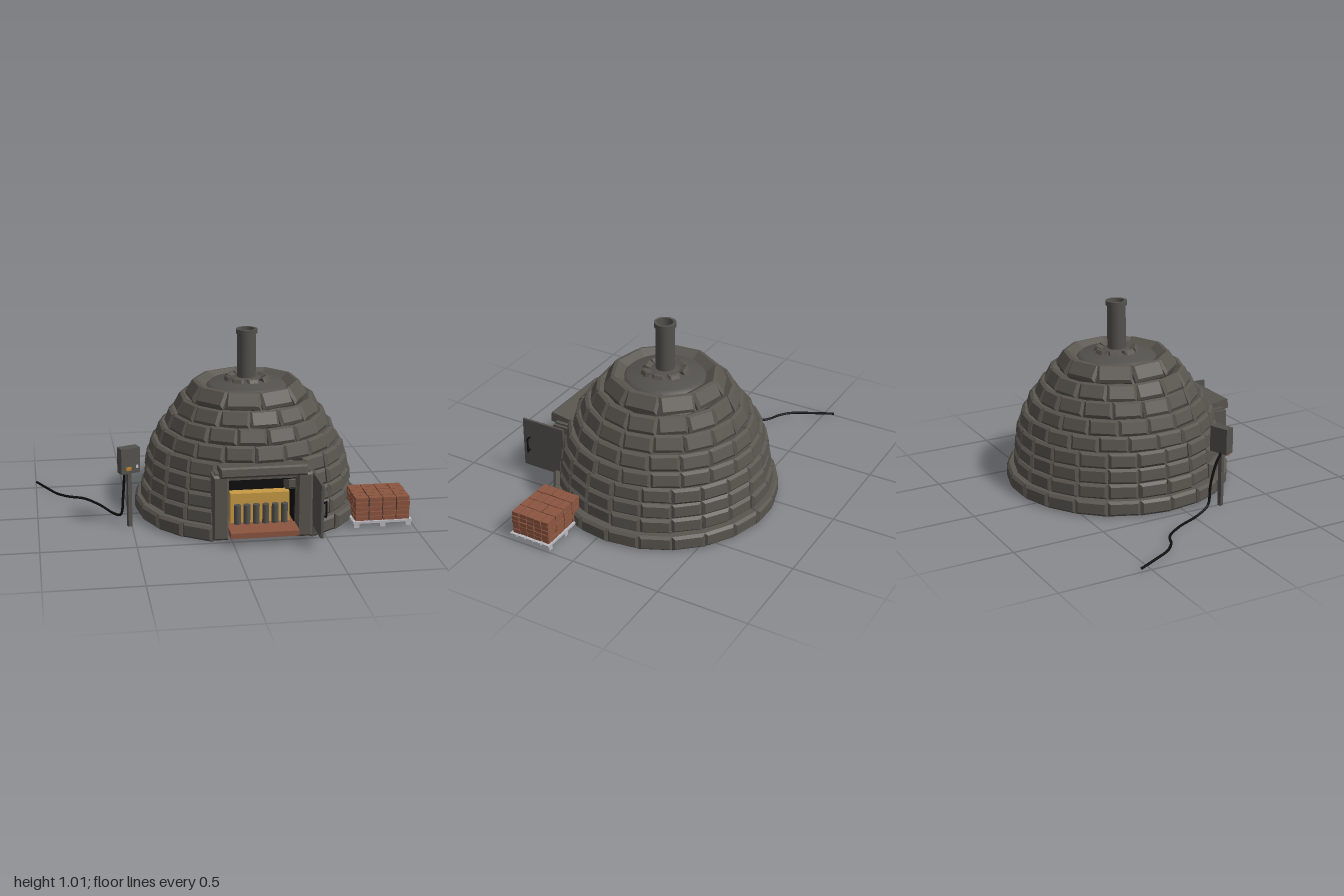
import * as THREE from 'three';
import { mergeGeometries } from 'three/addons/utils/BufferGeometryUtils.js';

const mat = (name, color, side = THREE.FrontSide) => {
  const m = new THREE.MeshStandardMaterial({ color, side });
  m.name = name;
  return m;
};

export function createModel() {
  const stone = mat('stone', 0x59554f);
  const mortar = mat('dark mortar', 0x34312e, THREE.DoubleSide);
  const metal = mat('grey metal', 0x53514d, THREE.DoubleSide);
  const black = mat('soot black', 0x0e0e0e);
  const gold = mat('ember gold', 0xc99a45);
  const clay = mat('clay brick', 0x8c5540);
  const pale = mat('pale pallet', 0xb9b9c0);
  const orange = mat('orange label', 0xb98632);

  const model = new THREE.Group();
  model.name = 'brickKiln';
  const CX = 0.16, CZ = -0.06;
  const kiln = new THREE.Group();
  kiln.name = 'kilnDome';
  kiln.position.set(CX, 0, CZ);
  model.add(kiln);

  let seed = 7;
  const rand = () => (seed = (seed * 16807) % 2147483647) / 2147483647 - 0.5;

  const add = (parent, name, geo, material, x = 0, y = 0, z = 0) => {
    const m = new THREE.Mesh(geo, material);
    m.name = name;
    m.position.set(x, y, z);
    parent.add(m);
    return m;
  };
  // box given by its minimum and maximum corners
  const span = (parent, name, material, x0, x1, y0, y1, z0, z1) =>
    add(parent, name, new THREE.BoxGeometry(x1 - x0, y1 - y0, z1 - z0), material,
      (x0 + x1) / 2, (y0 + y1) / 2, (z0 + z1) / 2);

  // stone block: outer face at z = 0 with chamfered rim, narrowing inwards
  function block(w, h, d, taper = 1, bevel = 0.014) {
    const g = new THREE.BoxGeometry(w, h, d, 1, 1, 2).toNonIndexed();
    const p = g.attributes.position;
    for (let i = 0; i < p.count; i++) {
      const x = p.getX(i), y = p.getY(i), z = p.getZ(i);
      if (z > d / 4) p.setXYZ(i, x - Math.sign(x) * bevel, y - Math.sign(y) * bevel, 0);
      else if (z > -d / 4) p.setZ(i, -bevel);
      else p.setXYZ(i, x * taper, y, -d);
    }
    g.computeVertexNormals();
    return g;
  }

  // courses: [middle height, outer radius, tilt in degrees, block count, half angle of doorway]
  const courses = [
    [0.044, 0.618, 0, 19, 0.45], [0.125, 0.58, 2, 19, 0.45], [0.207, 0.57, 5, 19, 0.45],
    [0.29, 0.557, 8, 19, 0.45], [0.37, 0.535, 12, 18, 0.46], [0.45, 0.495, 17, 19, 0],
    [0.53, 0.445, 23, 17, 0], [0.61, 0.395, 28, 15, 0], [0.692, 0.32, 33, 10, 0]
  ];
  const H = 0.086, D = 0.11;
  courses.forEach(([y, rMax, deg, n, gap], row) => {
    const tilt = THREE.MathUtils.degToRad(deg);
    const h = H / Math.cos(tilt) - 0.002;
    const r = rMax - (h / 2 - 0.014) * Math.sin(tilt);
    const step = (Math.PI * 2 - 2 * gap) / n;
    const parts = [];
    for (let i = 0; i < n; i++) {
      const a = gap + step * (i + 0.5) + (gap ? 0 : (row % 2) * step / 2 + 0.1);
      const w = 2 * r * Math.tan(step / 2) * (0.97 + rand() * 0.04);
      const g = block(w, h, D, (r - D * Math.cos(tilt)) / r);
      g.rotateZ(rand() * 0.03);
      g.rotateX(-tilt + rand() * 0.03);
      g.translate(0, y, r + rand() * 0.012);
      g.rotateY(a);
      parts.push(g);
    }
    add(kiln, 'stoneCourse' + (row + 1), mergeGeometries(parts), stone);
  });

  // mortar shell hidden between the blocks, open at the doorway
  const shell = courses.map(([y, r]) => new THREE.Vector2(r - 0.065, y));
  add(kiln, 'lowerMortar', new THREE.LatheGeometry(shell.slice(0, 5), 40, 0.46, Math.PI * 2 - 0.92), mortar);
  add(kiln, 'upperMortar', new THREE.LatheGeometry([new THREE.Vector2(0.455, 0.41), ...shell.slice(5)], 40), mortar);

  // crown cap and ring of small stones
  add(kiln, 'crownCap', new THREE.LatheGeometry(
    [[0.22, 0.695], [0.2, 0.715], [0.05, 0.745]].map(p => new THREE.Vector2(...p)), 32), metal);
  const crown = [];
  for (let i = 0; i < 8; i++) {
    const g = block(0.068, 0.05, 0.05, 0.75, 0.01);
    g.rotateX(-0.45);
    g.translate(0, 0.735, 0.125 + rand() * 0.015);
    g.rotateY(i * Math.PI / 4 + 0.2);
    crown.push(g);
  }
  add(kiln, 'crownStones', mergeGeometries(crown), stone);

  // hollow chimney with collar
  const tube = (r0, r1, y0, y1) => new THREE.LatheGeometry(
    [[r0, y0], [r1, y0], [r1, y0], [r1, y1], [r1, y1], [r0, y1], [r0, y1], [r0, y0]]
      .map(p => new THREE.Vector2(...p)), 32);
  add(kiln, 'chimney', tube(0.043, 0.051, 0.72, 1.0), metal);
  add(kiln, 'chimneyCollar', tube(0.043, 0.058, 0.985, 1.01), metal);

  // doorway
  const door = new THREE.Group();
  door.name = 'doorway';
  model.add(door);
  for (const s of [-1, 1]) {
    const x = CX + s * 0.222;
    const g = block(0.085, 0.355, 0.15, 1, 0.012);
    add(door, 'jamb', g, stone, x, 0.187, 0.5);
    span(door, 'throatWall', metal, CX + s * 0.185 - 0.006, CX + s * 0.185 + 0.006, 0.05, 0.36, 0.3, 0.47);
  }
  add(door, 'lintel', block(0.46, 0.056, 0.13, 1, 0.01), stone, CX, 0.39, 0.53).rotation.x = -0.15;
  span(door, 'throatRoof', stone, CX - 0.25, CX + 0.25, 0.335, 0.375, 0.3, 0.485);
  span(door, 'throatBack', metal, CX - 0.185, CX + 0.185, 0.05, 0.345, 0.296, 0.302);
  span(door, 'sootBack', black, CX - 0.18, CX + 0.18, 0.06, 0.336, 0.302, 0.309);
  span(door, 'sootRoof', black, CX - 0.178, CX + 0.178, 0.328, 0.335, 0.309, 0.48);
  for (const s of [-1, 1])
    span(door, 'sootSide', black, CX + s * 0.176 - 0.003, CX + s * 0.176 + 0.003, 0.07, 0.33, 0.309, 0.44);
  add(door, 'innerStone', block(0.06, 0.07, 0.08), stone, 0.318, 0.295, 0.46);
  span(door, 'sill', clay, -0.02, 0.34, 0.047, 0.076, 0.3, 0.575);

  // glowing firebed behind a row of bars
  span(door, 'firebed', gold, 0.0, 0.315, 0.076, 0.237, 0.36, 0.42);
  for (let i = 0; i < 6; i++)
    add(door, 'grateBar', new THREE.CylinderGeometry(0.018, 0.018, 0.105, 12), metal, 0.035 + i * 0.05, 0.128, 0.435);

  // open door leaf with handle and hinges
  span(door, 'doorLeaf', metal, 0.428, 0.442, 0.066, 0.355, 0.42, 0.68);
  add(door, 'handle', new THREE.CylinderGeometry(0.005, 0.005, 0.09, 8), black, 0.464, 0.208, 0.64);
  for (const y of [0.17, 0.246]) span(door, 'handleMount', black, 0.44, 0.466, y - 0.004, y + 0.004, 0.636, 0.644);
  for (const y of [0.11, 0.31])
    add(door, 'hinge', new THREE.CylinderGeometry(0.01, 0.01, 0.04, 10), metal, 0.432, y, 0.425);

  // control box on a post
  const box = new THREE.Group();
  box.name = 'controlBox';
  box.position.set(-0.513, 0, 0.2);
  box.rotation.y = 0.35;
  model.add(box);
  span(box, 'post', metal, -0.011, 0.011, 0.005, 0.32, -0.011, 0.011);
  span(box, 'cabinet', metal, -0.054, 0.054, 0.31, 0.45, -0.027, 0.027);
  span(box, 'orangeLabel', orange, -0.028, 0.003, 0.328, 0.348, 0.026, 0.03);
  span(box, 'paleLabel', pale, 0.03, 0.042, 0.337, 0.354, 0.026, 0.03);

  // power cable
  const path = [[-0.535, 0.32, 0.19], [-0.535, 0.27, 0.16], [-0.54, 0.15, 0.12], [-0.55, 0.04, 0.1],
    [-0.58, 0.01, 0.02], [-0.66, 0.012, -0.14], [-0.74, 0.014, -0.245], [-0.82, 0.014, -0.285],
    [-0.88, 0.014, -0.34], [-0.93, 0.014, -0.43], [-0.995, 0.014, -0.56]].map(p => new THREE.Vector3(...p));
  add(model, 'cable', new THREE.TubeGeometry(new THREE.CatmullRomCurve3(path), 80, 0.007, 8), black);

  // pallet of bricks
  const pallet = new THREE.Group();
  pallet.name = 'brickPallet';
  model.add(pallet);
  for (const x of [0.69, 0.832, 0.974]) span(pallet, 'runner', pale, x - 0.015, x + 0.015, 0.0, 0.022, 0.15, 0.392);
  for (let i = 0; i < 5; i++) {
    const z = 0.15 + i * 0.0502;
    span(pallet, 'slat', pale, 0.67, 0.995, 0.022, 0.034, z, z + 0.041);
  }
  const bricks = [];
  for (let k = 0; k < 5; k++)
    for (let i = 0; i < 4; i++)
      for (let j = 0; j < 5; j++) {
        const g = new THREE.BoxGeometry(0.07, 0.023, 0.041);
        g.rotateY(rand() * 0.06);
        g.translate(0.72 + i * 0.075 + rand() * 0.004, 0.046 + k * 0.0262, 0.18 + j * 0.0455 + rand() * 0.003);
        bricks.push(g);
      }
  add(pallet, 'brickStack', mergeGeometries(bricks), clay);
  span(pallet, 'stackGaps', mortar, 0.695, 0.97, 0.034, 0.156, 0.17, 0.372);

  return model;
}
